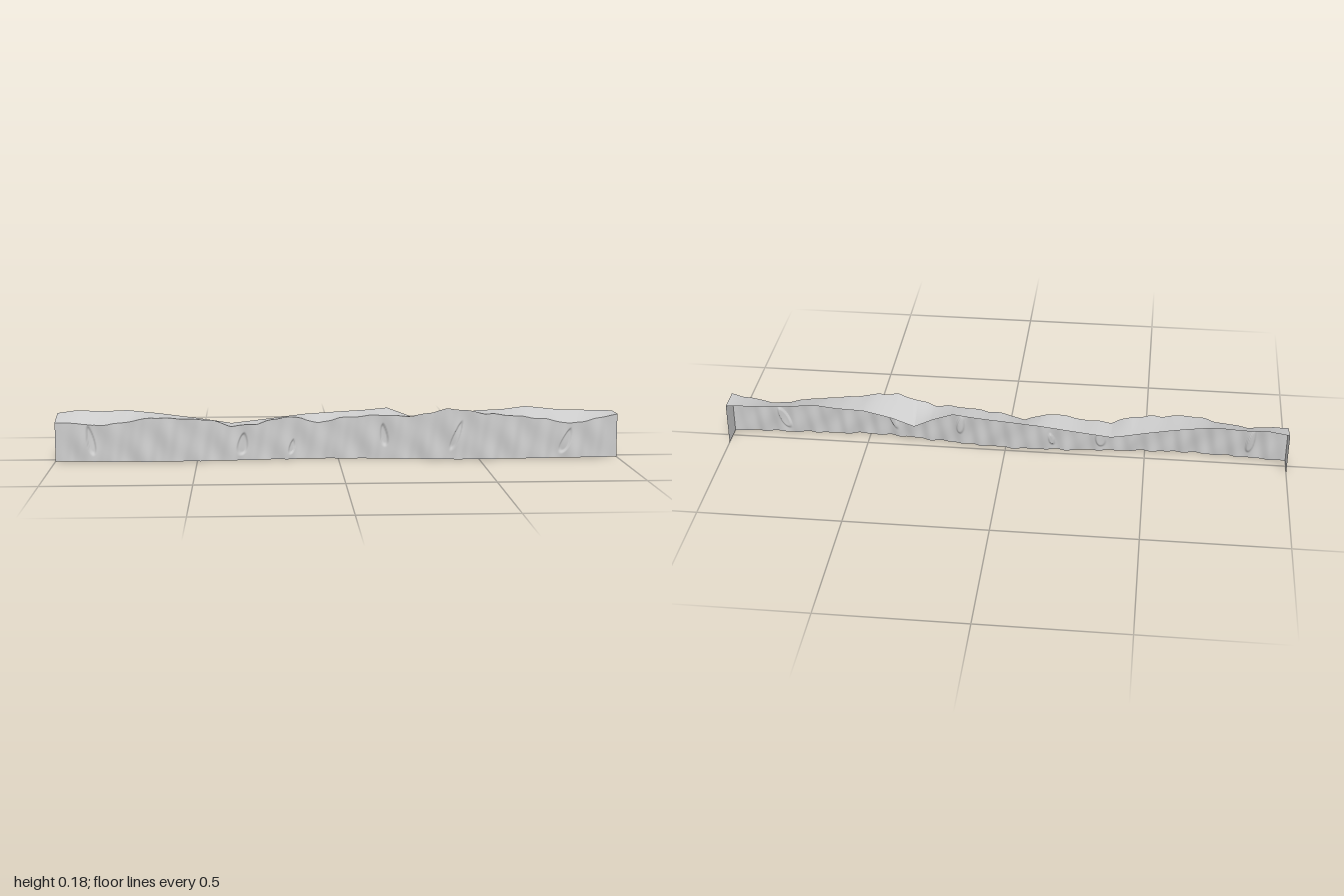
import * as THREE from 'three';

// Edge profiles as [x, value] pairs
const FRONT_TOP = [[-1, .138], [-.92, .136], [-.87, .127], [-.78, .135], [-.66, .156], [-.57, .152], [-.45, .145],
  [-.38, .121], [-.29, .128], [-.19, .152], [-.13, .146], [-.07, .126], [0, .145], [.14, .156], [.26, .152],
  [.33, .167], [.39, .181], [.45, .176], [.52, .163], [.62, .154], [.74, .14], [.83, .122], [.9, .134], [1, .155]];
const BACK_TOP = [[-1, .16], [-.93, .17], [-.84, .166], [-.75, .17], [-.64, .158], [-.5, .138], [-.38, .118],
  [-.25, .133], [-.12, .149], [0, .157], [.1, .163], [.18, .171], [.25, .145], [.32, .11], [.4, .138], [.5, .16],
  [.6, .164], [.68, .174], [.8, .161], [1, .155]];
const FRONT_Z = [[-1, .034], [-.85, .042], [-.7, .052], [-.6, .053], [-.4, .04], [-.25, .027], [-.1, .017], [0, .016],
  [.15, .028], [.3, .045], [.42, .058], [.5, .06], [.65, .051], [.8, .044], [1, .035]];
const BACK_Z = [[-1, -.054], [-.85, -.049], [-.7, -.045], [-.58, -.05], [-.42, -.062], [-.1, -.064], [.05, -.06],
  [.2, -.054], [.45, -.046], [.55, -.045], [.75, -.05], [1, -.053]];

// Chips in the face: x, y, half width, half height, lean
const CHIPS = [[-.875, .075, .014, .056, -.2], [-.34, .058, .019, .042, .12], [-.165, .045, .01, .027, .2],
  [.163, .085, .014, .043, -.12], [.42, .085, .013, .055, .38], [.815, .062, .018, .047, .38]];

function sample(table, x) {
  let i = 0;
  while (i < table.length - 2 && x > table[i + 1][0]) i++;
  const [a, va] = table[i], [b, vb] = table[i + 1];
  return THREE.MathUtils.lerp(va, vb, (x - a) / (b - a));
}

// Fades surface roughness out at the two ends
const fade = x => Math.min(1, (1 - Math.abs(x)) / .06);

function rough(x, y) {
  return .0032 * Math.sin(x * 62 + y * 14) + .0025 * Math.sin(x * 103 - y * 20 + 1.7)
    + .0015 * Math.sin(x * 37 + y * 45 + .6);
}

function chipDepth(x, y) {
  let depth = 0;
  for (const [cx, cy, w, h, lean] of CHIPS) {
    const dy = y - cy, dx = x - cx - dy * lean;
    const width = w * (1 - .35 * dy / h);
    const r = Math.hypot(dx / width, dy / h);
    depth += .007 * (1 - THREE.MathUtils.smoothstep(r, .72, 1));
  }
  return depth;
}

function faceZ(x, y) {
  const f = fade(x);
  return sample(FRONT_Z, x) + f * (.006 * (1 - y / .16) - .003 + rough(x, y) * (1 - 2 * y)) - chipDepth(x, y);
}

function frontTop(x) {
  const y = sample(FRONT_TOP, x) + fade(x) * .0015 * Math.sin(x * 70);
  return new THREE.Vector3(x, y, faceZ(x, y));
}

const backTop = x => new THREE.Vector3(x, sample(BACK_TOP, x), sample(BACK_Z, x));

// Grid surface from a rule taking u, v in 0..1
function sheet(name, cols, rows, rule, material) {
  const geometry = new THREE.PlaneGeometry(1, 1, cols, rows);
  const p = geometry.attributes.position;
  for (let i = 0; i < p.count; i++) {
    const q = rule(p.getX(i) + .5, p.getY(i) + .5);
    p.setXYZ(i, q.x, q.y, q.z);
  }
  geometry.computeVertexNormals();
  const mesh = new THREE.Mesh(geometry, material);
  mesh.name = name;
  return mesh;
}

export function createModel() {
  const group = new THREE.Group();
  group.name = 'rockLedge';
  const material = new THREE.MeshStandardMaterial({ color: 0xcccccc, side: THREE.DoubleSide });

  // Weathered front face with chips
  group.add(sheet('frontFace', 600, 36, (u, v) => {
    const x = u * 2 - 1, y = frontTop(x).y * v;
    return new THREE.Vector3(x, y, faceZ(x, y));
  }, material));

  // Undulating top, from the front edge to the back edge
  group.add(sheet('topSurface', 600, 4, (u, v) => {
    const x = u * 2 - 1;
    return frontTop(x).lerp(backTop(x), v);
  }, material));

  // Flat end caps; the back and underside stay open
  for (const side of [-1, 1]) {
    group.add(sheet(side > 0 ? 'leftEnd' : 'rightEnd', 1, 36, (u, v) => {
      const t = side > 0 ? u : 1 - u;
      const front = frontTop(side), back = backTop(side);
      front.y *= v;
      front.z = faceZ(side, front.y);
      back.y *= v;
      return front.lerp(back, t);
    }, material));
  }
  return group;
}
